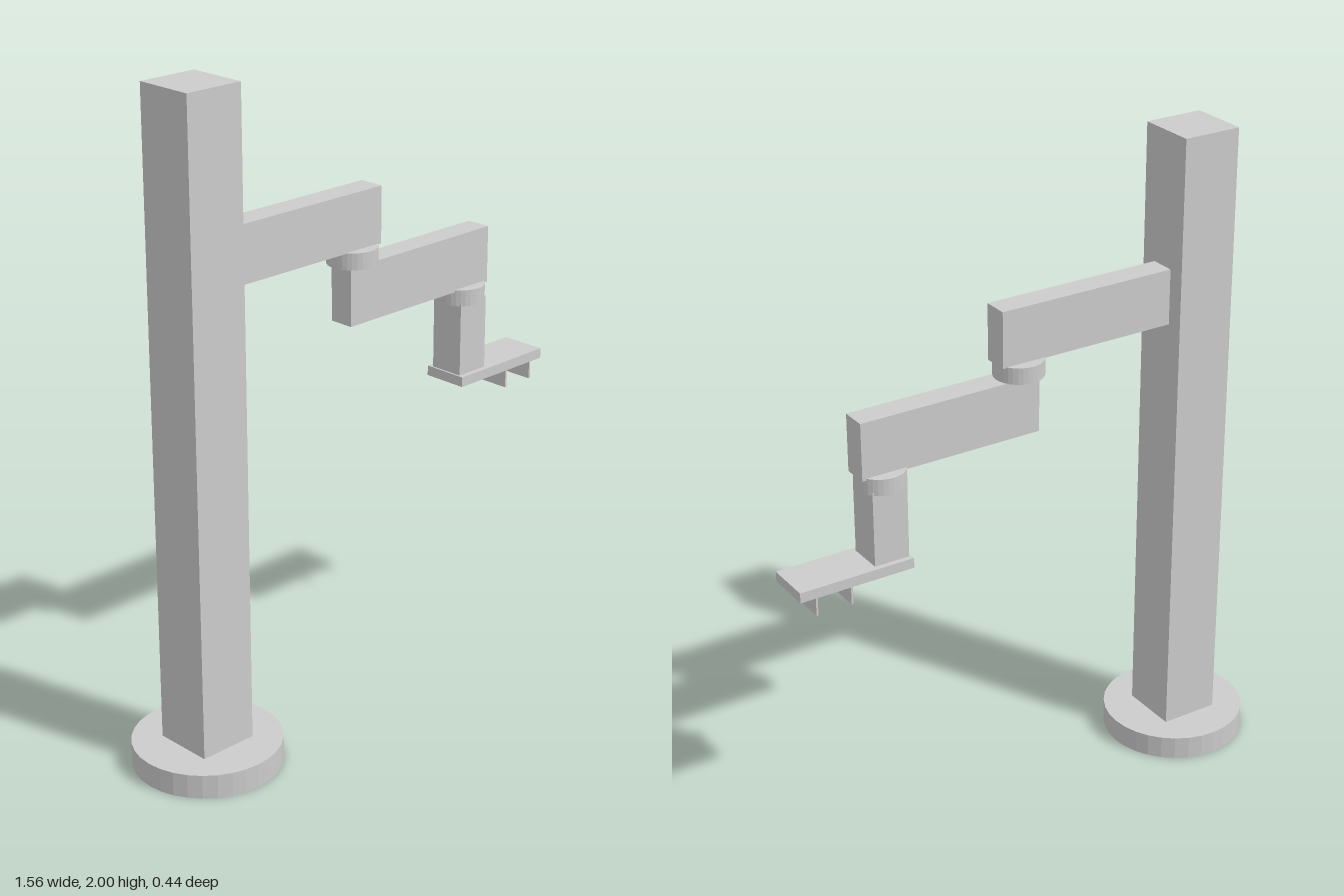
import * as THREE from 'three';

export function createModel() {
  const group = new THREE.Group();
  const material = new THREE.MeshStandardMaterial({ color: 0xcccccc, flatShading: true });

  const add = (name, geometry, x, y, z = 0) => {
    const mesh = new THREE.Mesh(geometry, material);
    mesh.name = name;
    mesh.position.set(x, y, z);
    group.add(mesh);
  };
  // Box from its x and y extents and its depth, centred on z = 0
  const box = (name, x0, x1, y0, y1, depth) =>
    add(name, new THREE.BoxGeometry(x1 - x0, y1 - y0, depth), (x0 + x1) / 2, (y0 + y1) / 2);
  // Upright disc from its centre, radius and y extents
  const disc = (name, x, radius, y0, y1) =>
    add(name, new THREE.CylinderGeometry(radius, radius, y1 - y0, 32), x, (y0 + y1) / 2);

  // Floor base and column
  disc('base', -0.563, 0.22, 0, 0.073);
  box('column', -0.655, -0.471, 0.073, 2, 0.184);

  // Two arm links with their pivots
  box('upperArm', -0.471, 0.1, 1.424, 1.595, 0.078);
  disc('elbowJoint', 0.023, 0.075, 1.376, 1.426);
  box('forearm', -0.021, 0.556, 1.201, 1.376, 0.078);
  disc('wristJoint', 0.479, 0.075, 1.157, 1.207);

  // Wrist post and gripper plate
  box('wristPost', 0.425, 0.535, 0.936, 1.165, 0.11);
  box('gripperPlate', 0.419, 0.779, 0.905, 0.936, 0.143);

  // Thin gripper fingers hanging under the plate
  for (const x of [0.619, 0.729]) box('gripperFinger', x - 0.003, x + 0.003, 0.85, 0.905, 0.143);

  return group;
}
